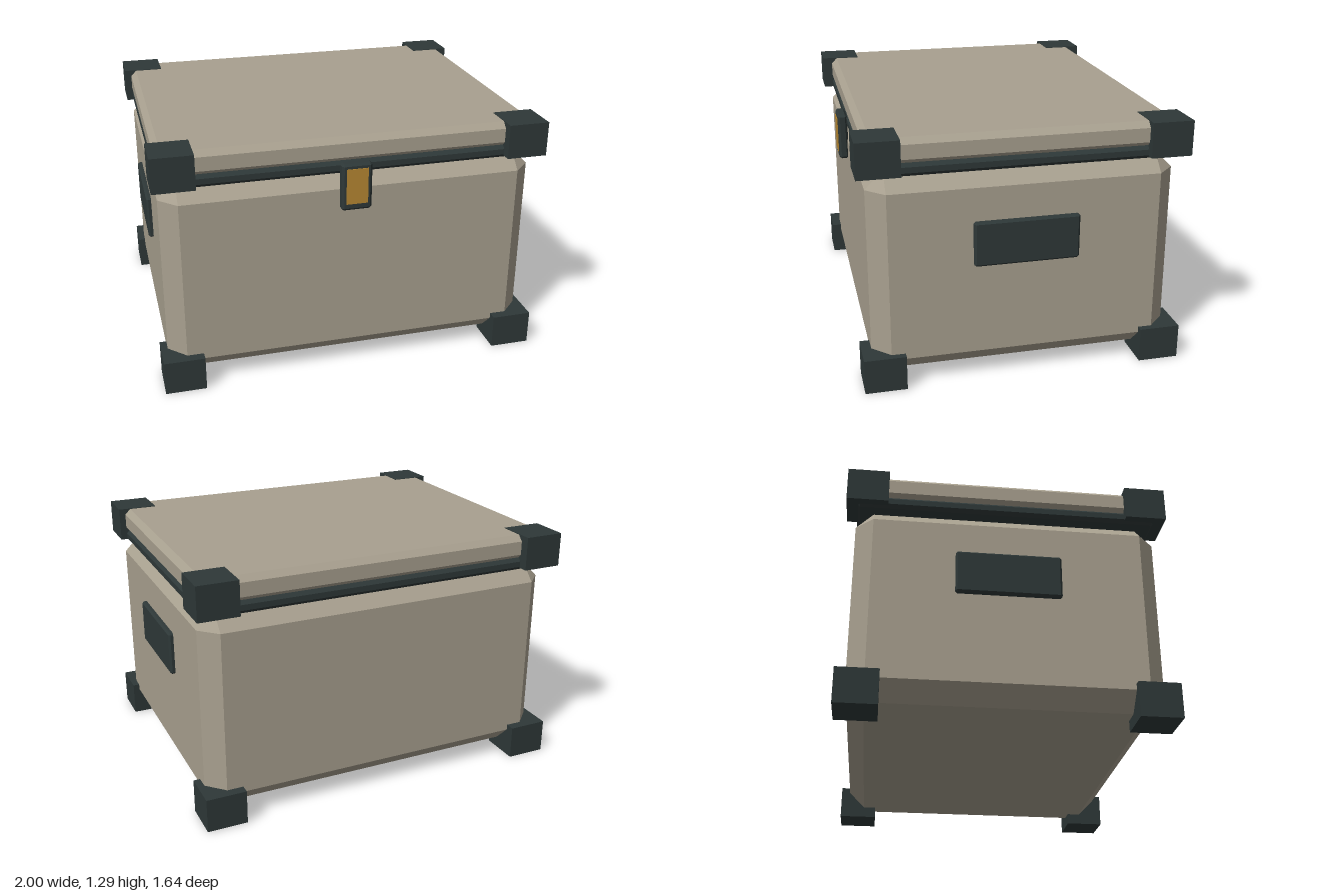
import * as THREE from 'three';
import { ConvexGeometry } from 'three/addons/geometries/ConvexGeometry.js';

// Box with every edge cut at 45 degrees, given by its extents
function chamferBox([x0, x1], [y0, y1], [z0, z1], c) {
  const half = [(x1 - x0) / 2, (y1 - y0) / 2, (z1 - z0) / 2];
  const points = [];
  for (const sx of [-1, 1]) for (const sy of [-1, 1]) for (const sz of [-1, 1]) {
    for (let axis = 0; axis < 3; axis++) {
      const p = half.map((h, i) => (i === axis ? h : h - c));
      points.push(new THREE.Vector3(sx * p[0], sy * p[1], sz * p[2]));
    }
  }
  return new ConvexGeometry(points).translate((x0 + x1) / 2, (y0 + y1) / 2, (z0 + z1) / 2);
}

export function createModel() {
  const shell = new THREE.MeshStandardMaterial({ name: 'warmGrey', color: 0xa8a08f });
  const trim = new THREE.MeshStandardMaterial({ name: 'darkSlate', color: 0x2e3838 });
  const brass = new THREE.MeshStandardMaterial({ name: 'brass', color: 0xb68732 });

  const group = new THREE.Group();
  group.name = 'storageCrate';
  const add = (name, geometry, material) => {
    const mesh = new THREE.Mesh(geometry, material);
    mesh.name = name;
    group.add(mesh);
    return mesh;
  };

  // Body, seal and lid
  add('body', chamferBox([-0.965, 0.965], [0.06, 1.11], [-0.77, 0.77], 0.09), shell);
  add('lidSeal', chamferBox([-0.965, 0.965], [1.1, 1.165], [-0.77, 0.77], 0.018), trim);
  add('lid', chamferBox([-0.967, 0.967], [1.155, 1.287], [-0.77, 0.77], 0.03), shell);

  // Corner guards: four feet and four on the lid
  for (const [level, y0, y1] of [['lower', 0, 0.18], ['upper', 1.112, 1.29]]) {
    for (const sx of [-1, 1]) for (const sz of [-1, 1]) {
      const guard = add(`${level}CornerGuard`, new THREE.BoxGeometry(0.21, y1 - y0, 0.21), trim);
      guard.position.set(sx * 0.895, (y0 + y1) / 2, sz * 0.715);
    }
  }

  // Side handles
  add('leftHandle', chamferBox([0.93, 0.99], [0.62, 0.85], [-0.265, 0.265], 0.01), trim);
  add('rightHandle', chamferBox([-0.99, -0.93], [0.62, 0.85], [-0.265, 0.265], 0.01), trim);

  // Front latch with its inset plate
  add('latch', chamferBox([-0.078, 0.078], [0.918, 1.165], [0.765, 0.816], 0.012), trim);
  const plate = add('latchPlate', new THREE.BoxGeometry(0.11, 0.185, 0.008), brass);
  plate.position.set(0, 1.047, 0.816);

  return group;
}
